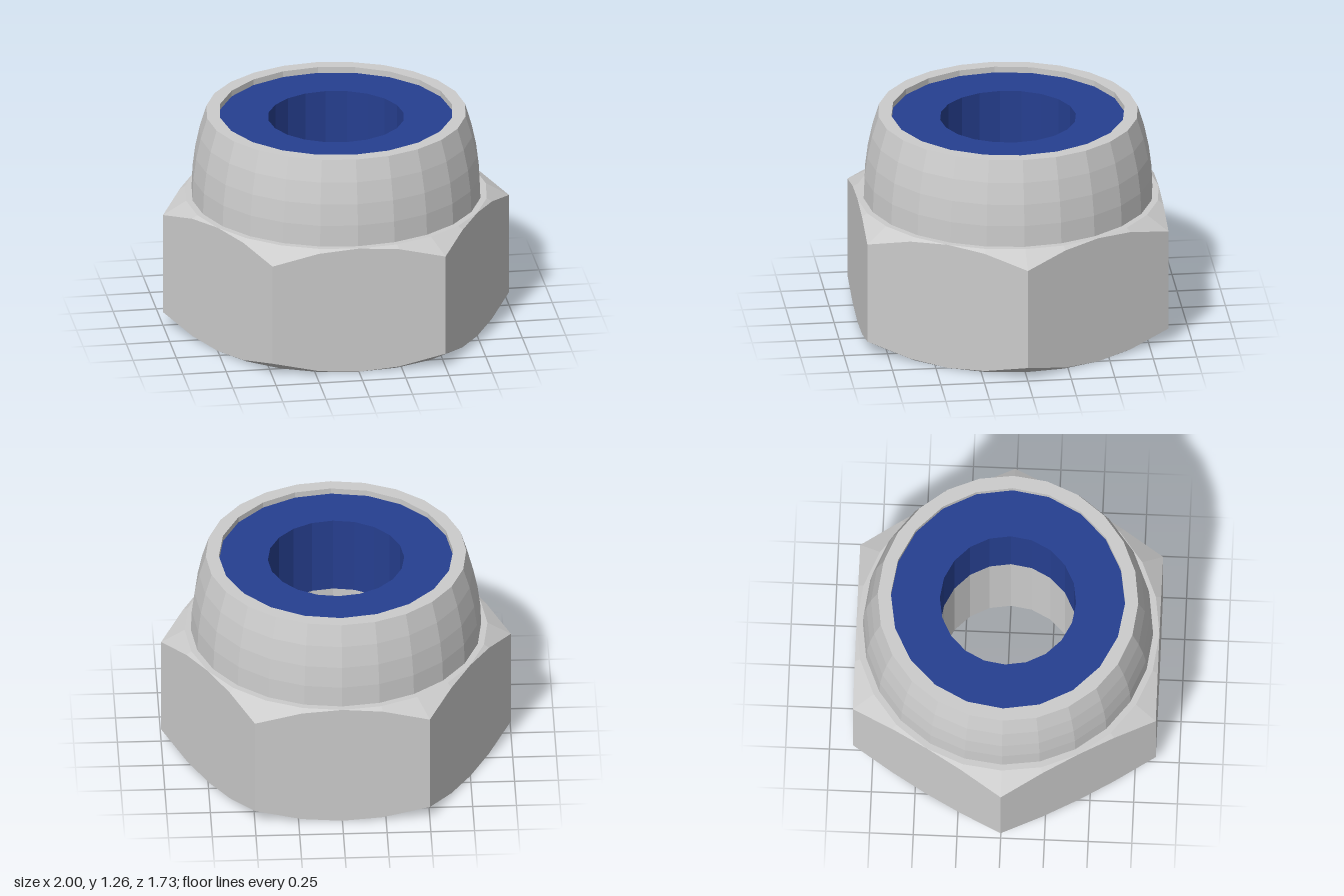
import * as THREE from 'three';

const OUTER_SIDES = 24, INNER_SIDES = 20;
const APOTHEM = 0.866, NUT_H = 0.76, TOP = 1.26;
const BORE = 0.39, SEAT = 0.67, SEAT_Y = 0.76, COUNTERSINK = 0.49;

const steel = new THREE.MeshStandardMaterial({ color: 0xcccccc, flatShading: true });
const nylon = new THREE.MeshStandardMaterial({ color: 0x263f90, flatShading: true });

const lathe = (profile, sides) =>
  new THREE.LatheGeometry(profile.map(([r, y]) => new THREE.Vector2(r, y)), sides);

const ngon = (r, n) => Array.from({ length: n }, (_, i) => {
  const a = (i / n) * Math.PI * 2;
  return new THREE.Vector2(r * Math.cos(a), r * Math.sin(a));
});

// Flat annulus facing up (dir = 1) or down (dir = -1)
function annulus(outer, inner, y, dir) {
  const shape = new THREE.Shape(ngon(outer, OUTER_SIDES));
  shape.holes.push(new THREE.Path(ngon(inner, INNER_SIDES)));
  return new THREE.ShapeGeometry(shape).rotateX(-dir * Math.PI / 2).translate(0, y, 0);
}

// Hexagon with conical chamfers: the two widest rows of a lathe are pushed out to a hexagon
function hexGeometry() {
  const geo = lathe([[APOTHEM, 0], [1, 0], [1, NUT_H], [APOTHEM, NUT_H], [0.8, NUT_H]], OUTER_SIDES);
  const p = geo.attributes.position;
  for (let i = 0; i < p.count; i++) {
    const x = p.getX(i), z = p.getZ(i);
    if (Math.hypot(x, z) < 0.99) continue;
    const sector = Math.PI / 3, a = Math.atan2(x, z);
    const r = APOTHEM / Math.cos(a - Math.round(a / sector) * sector);
    const drop = 0.6 * (r - APOTHEM);
    p.setXYZ(i, x * r, p.getY(i) > 0.1 ? NUT_H - drop : drop, z * r);
  }
  geo.computeVertexNormals();
  return geo;
}

// Collar bulging inward along a shallow arc
function collarGeometry() {
  const R = 1.51, profile = [];
  for (let i = 0; i <= 4; i++) {
    const h = (TOP - NUT_H) * i / 4;
    profile.push([0.83 - (R - Math.sqrt(R * R - h * h)), NUT_H + h]);
  }
  return lathe(profile, OUTER_SIDES);
}

export function createModel() {
  const nut = new THREE.Group();
  nut.name = 'lockNut';
  const add = (name, geo, mat) => {
    const mesh = new THREE.Mesh(geo, mat);
    mesh.name = name;
    nut.add(mesh);
  };

  add('hexBody', hexGeometry(), steel);
  add('bottomFace', annulus(APOTHEM, COUNTERSINK, 0, -1), steel);
  add('collar', collarGeometry(), steel);
  add('collarRim', annulus(0.745, SEAT, TOP, 1), steel);

  // Insert seat, bore and countersink, facing inward
  add('bore', lathe([[SEAT, TOP], [SEAT, SEAT_Y], [BORE, SEAT_Y], [BORE, 0.065], [COUNTERSINK, 0]],
    INNER_SIDES), steel);

  // Locking ring just below the rim
  add('lockingInsert', lathe([[BORE, SEAT_Y], [SEAT, SEAT_Y], [SEAT, 1.225], [BORE, 1.225], [BORE, SEAT_Y]],
    INNER_SIDES), nylon);
  return nut;
}
